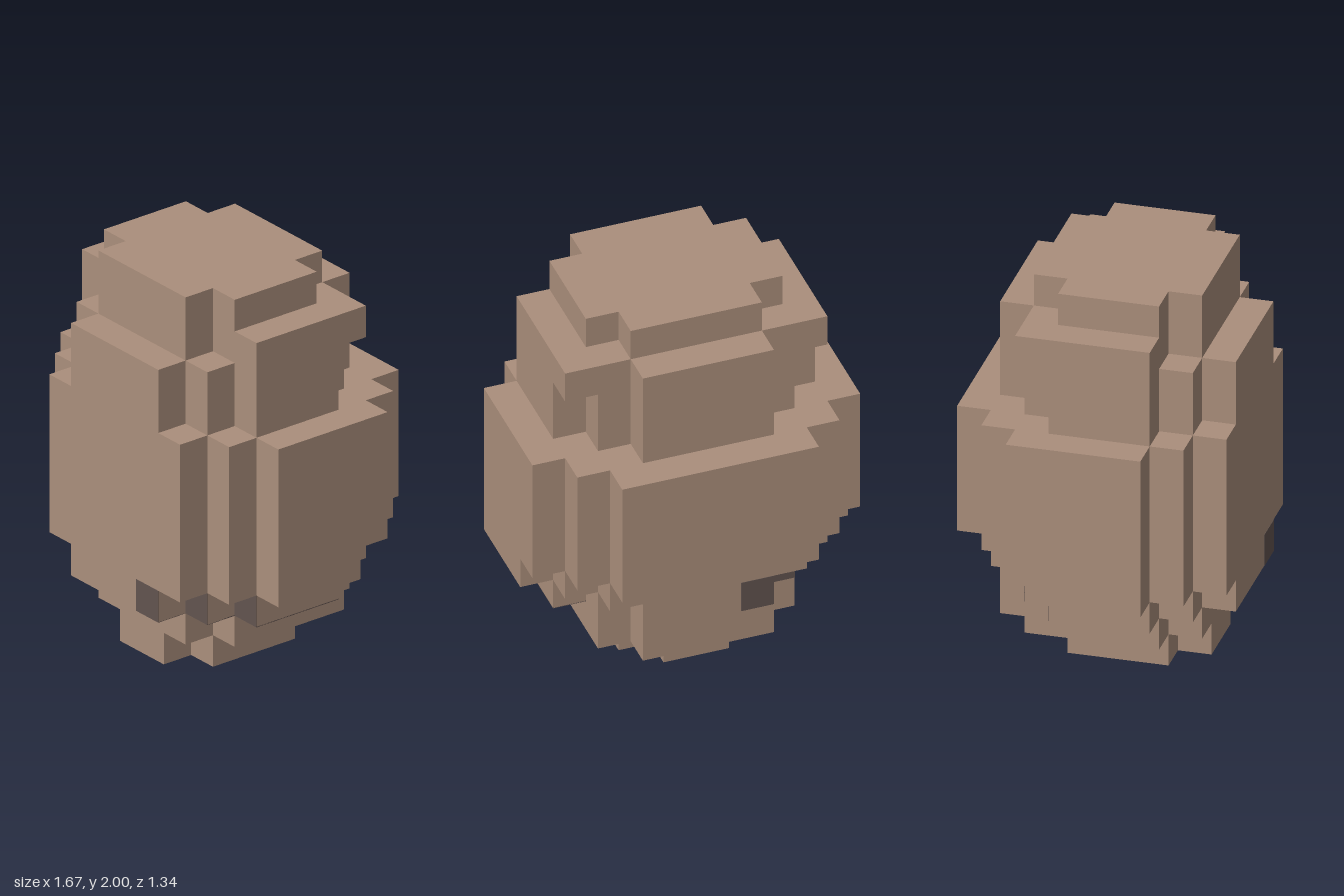
import * as THREE from 'three';

const U = 1 / 6; // edge of one block

// Each tier: bottom, top, then [halfWidth, back, front] spans from widest to narrowest (in blocks)
const TIERS = [
  ['foot', 0, 1, [[2, -1, 2], [1, -2, 3]]],
  ['lowerTaper', 1, 2, [[3, -2, 2], [2, -3, 3]]],
  ['middleTaper', 2, 3, [[4, -1, 2], [3, -2, 3], [2, -3, 4]]],
  ['upperTaper', 3, 4, [[5, -1, 2], [4, -2, 3], [3, -3, 4]]],
  ['belly', 4, 8, [[5, -2, 2], [4, -3, 3], [3, -4, 4]]],
  ['shoulder', 8, 10, [[4, -1, 2], [3, -2, 3], [2, -3, 4]]],
  ['collar', 10, 11, [[4, -2, 2], [2, -3, 3]]],
  ['cap', 11, 12, [[3, -1, 2], [2, -2, 3]]],
];

// Stepped outline, symmetric in x; shape y is -z
function outline(spans) {
  const right = [];
  const n = spans.length;
  for (let i = n - 1; i >= 0; i--) { // front centre to widest
    const [w, , f] = spans[i];
    if (i < n - 1) right.push([spans[i + 1][0], f]);
    right.push([w, f]);
  }
  for (let i = 0; i < n; i++) { // widest to back centre
    const [w, b] = spans[i];
    right.push([w, b]);
    if (i < n - 1) right.push([spans[i + 1][0], b]);
  }
  const left = right.map(([x, z]) => [-x, z]).reverse();
  return new THREE.Shape([...right, ...left].map(([x, z]) => new THREE.Vector2(x * U, -z * U)));
}

export function createModel() {
  const clay = new THREE.MeshStandardMaterial({ name: 'warmBrown', color: 0xab8f7c });
  const dark = new THREE.MeshStandardMaterial({ name: 'darkBrown', color: 0x625450 });
  const model = new THREE.Group();
  model.name = 'blockyBoulder';

  // Stacked stepped tiers
  for (const [name, y0, y1, spans] of TIERS) {
    const geo = new THREE.ExtrudeGeometry(outline(spans), { depth: (y1 - y0) * U, bevelEnabled: false });
    geo.rotateX(-Math.PI / 2);
    const mesh = new THREE.Mesh(geo, clay);
    mesh.name = name;
    mesh.position.y = y0 * U;
    model.add(mesh);
  }

  // Thin dark plates on the middle taper
  const T = 0.004;
  const plate = (name, x0, x1, y0, y1, z0, z1) => {
    const size = (a, b) => (a === b ? T : (b - a) * U);
    const mesh = new THREE.Mesh(new THREE.BoxGeometry(size(x0, x1), size(y0, y1), size(z0, z1)), dark);
    mesh.name = name;
    mesh.position.set((x0 + x1) / 2 * U, (y0 + y1) / 2 * U, (z0 + z1) / 2 * U);
    model.add(mesh);
  };
  for (let i = 1; i <= 3; i++) {
    plate('frontPatch', i, i + 1, 2, 3, 5 - i, 5 - i);
    plate('backPatch', -i - 1, -i, 2, 3, i - 4, i - 4);
    plate('undersidePatch', i, i + 1, 2, 2, i === 3 ? -1 : 4 - i, 5 - i);
  }
  return model;
}
